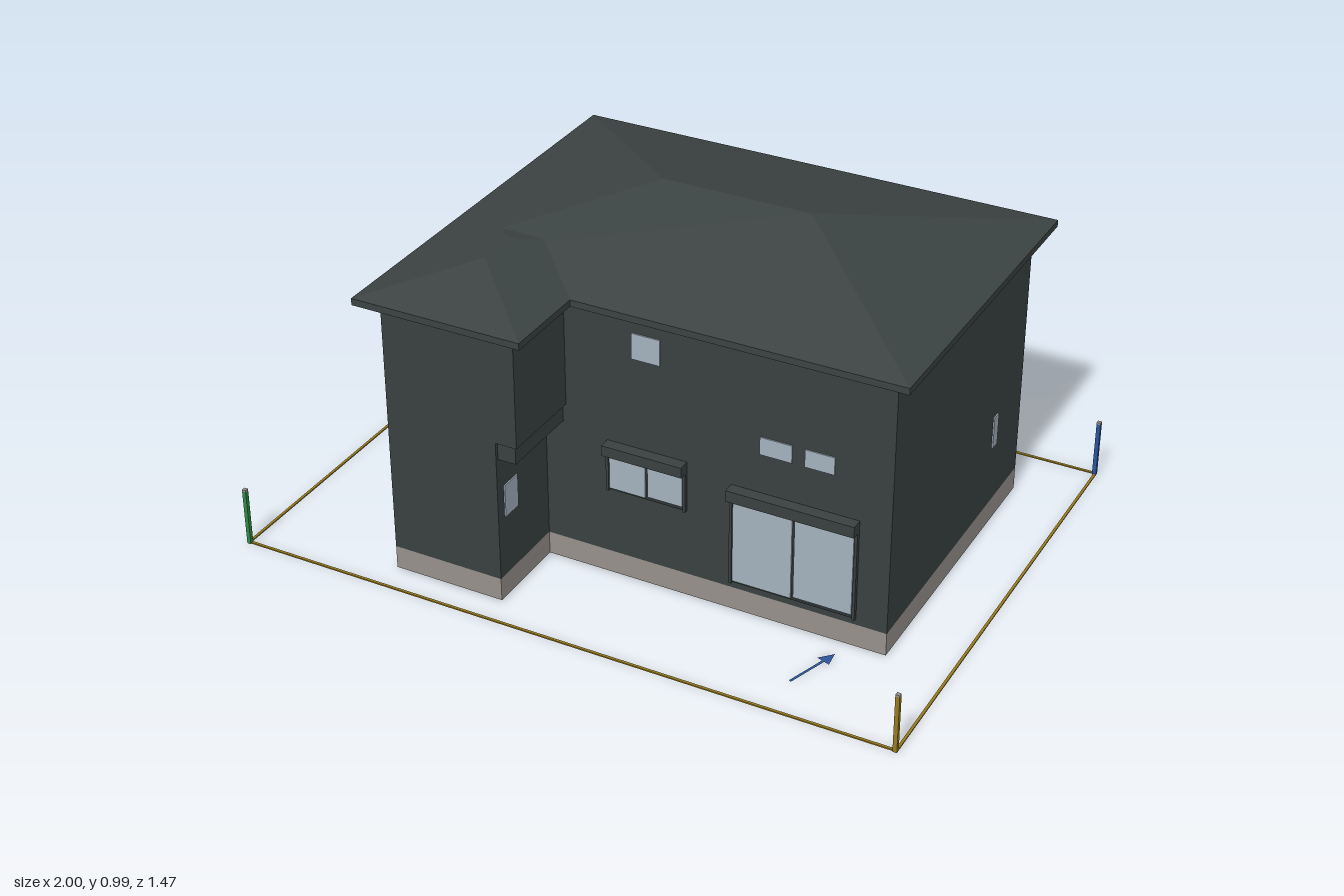
import * as THREE from 'three';

const mat = (name, color, extra = {}) => Object.assign(new THREE.MeshStandardMaterial({ color, ...extra }), { name });

export function createModel() {
  const house = new THREE.Group();
  house.name = 'house';
  const cladding = mat('charcoal cladding', 0x3a4141);
  const roofing = mat('charcoal roofing', 0x3b4342);
  const concrete = mat('concrete', 0x96918c);
  const glass = mat('window glass', 0xa3b1bd);
  const timber = mat('brown timber', 0x4e352a);
  const trim = mat('dark trim', 0x2c3233);
  const olive = mat('boundary ochre', 0x957a1e);
  const green = mat('post green', 0x2f8a45);
  const blue = mat('marker blue', 0x2a559c, { side: THREE.DoubleSide });

  const add = (name, geometry, material, parent = house) => {
    const mesh = new THREE.Mesh(geometry, material);
    mesh.name = name;
    parent.add(mesh);
    return mesh;
  };
  // Box given by its two opposite corners
  const box = (name, [x0, y0, z0], [x1, y1, z1], material, parent) => {
    const g = new THREE.BoxGeometry(x1 - x0, y1 - y0, z1 - z0);
    g.translate((x0 + x1) / 2, (y0 + y1) / 2, (z0 + z1) / 2);
    return add(name, g, material, parent);
  };
  // Floor plan of [x, z] points raised from y0 to y1
  const storey = (name, plan, y0, y1, material, hole) => {
    const toPoints = (p) => p.map(([x, z]) => new THREE.Vector2(x, -z));
    const shape = new THREE.Shape(toPoints(plan));
    if (hole) shape.holes.push(new THREE.Path(toPoints(hole)));
    const g = new THREE.ExtrudeGeometry(shape, { depth: y1 - y0, bevelEnabled: false });
    g.rotateX(-Math.PI / 2);
    g.translate(0, y0, 0);
    return add(name, g, material);
  };
  // L-shaped plan: wing side at wx, porch notch reaching back to pz, inset by d
  const plan = (wx, pz, d = 0) => [
    [-0.56 + d, 0.63 - d], [wx - d, 0.63 - d], [wx - d, 0.37 - d], [0.81 - d, 0.37 - d],
    [0.81 - d, -0.55 + d], [-0.31 + d, -0.55 + d], [-0.31 + d, pz + d], [-0.56 + d, pz + d],
  ];

  // Foundation ring and walls
  storey('foundation', plan(-0.22, -0.3), 0, 0.07, concrete, plan(-0.22, -0.3, 0.035));
  storey('lowerWalls', plan(-0.22, -0.3), 0.07, 0.506, [timber, cladding]);
  storey('upperWalls', plan(-0.155, -0.42), 0.506, 0.85, [timber, cladding]);
  box('bayBand', [-0.23, 0.45, 0.36], [-0.165, 0.508, 0.62], cladding);

  // Corner porch
  const porch = new THREE.Group();
  porch.name = 'porch';
  house.add(porch);
  box('porchSlab', [-0.56, 0, -0.55], [-0.31, 0.05, -0.28], concrete, porch);
  box('porchScreen', [-0.56, 0.05, -0.55], [-0.543, 0.506, -0.41], cladding, porch);
  box('porchScreenLining', [-0.543, 0.05, -0.548], [-0.538, 0.504, -0.412], concrete, porch);
  box('porchBackBeam', [-0.543, 0.44, -0.42], [-0.31, 0.506, -0.405], timber, porch);
  box('porchSideBeam', [-0.56, 0.44, -0.41], [-0.545, 0.506, -0.3], timber, porch);
  box('porchEaveLining', [-0.56, 0.842, -0.55], [-0.31, 0.848, -0.42], timber, porch);

  // Hipped roof with a short upright eave, ridge along the longer side
  const hipRoof = (name, x0, x1, z0, z1) => {
    const yb = 0.845, ye = 0.865, half = Math.min(x1 - x0, z1 - z0) / 2, yr = ye + half * 0.252;
    const low = [[x0, yb, z1], [x1, yb, z1], [x1, yb, z0], [x0, yb, z0]];
    const eave = low.map(([x, , z]) => [x, ye, z]);
    const alongX = x1 - x0 > z1 - z0;
    const a = alongX ? [x0 + half, yr, (z0 + z1) / 2] : [(x0 + x1) / 2, yr, z1 - half];
    const b = alongX ? [x1 - half, yr, (z0 + z1) / 2] : [(x0 + x1) / 2, yr, z0 + half];
    const top = alongX ? [a, b, b, a] : [a, a, b, b];
    const tris = [];
    const quad = (p, q, r, s) => tris.push(...p, ...q, ...r, ...p, ...r, ...s);
    for (let i = 0; i < 4; i++) {
      const j = (i + 1) % 4;
      quad(low[i], low[j], eave[j], eave[i]);
      if (top[i] === top[j]) tris.push(...eave[i], ...eave[j], ...top[i]);
      else quad(eave[i], eave[j], top[j], top[i]);
    }
    quad(low[3], low[2], low[1], low[0]);
    const g = new THREE.BufferGeometry();
    g.setAttribute('position', new THREE.Float32BufferAttribute(tris, 3));
    g.computeVertexNormals();
    add(name, g, roofing);
  };
  hipRoof('mainRoof', -0.615, 0.86, -0.605, 0.42);
  hipRoof('wingRoof', -0.615, -0.105, 0.045, 0.68);

  // Front windows: x range, y range
  const frontPane = (x0, x1, y0, y1, z = 0.37) =>
    box('frontWindow', [x0, y0, z - 0.002], [x1, y1, z + 0.004], glass);
  frontPane(0.05, 0.135, 0.705, 0.783);
  frontPane(0.43, 0.523, 0.52, 0.573);
  frontPane(0.56, 0.645, 0.52, 0.573);

  // Sliding windows with a frame and a shutter box above
  const slider = (name, x0, x1, y0, y1, boxTop) => {
    const mid = (x0 + x1) / 2;
    box(name + 'Backing', [x0, y0, 0.365], [x1, y1, 0.373], trim);
    for (const x of [x0, x1 - 0.008]) box(name + 'Rail', [x, y0, 0.365], [x + 0.008, y1, 0.382], cladding);
    box(name + 'ShutterBox', [x0, y1, 0.365], [x1, boxTop, 0.405], cladding);
    frontPane(x0 + 0.009, mid - 0.003, y0 + 0.007, y1 - 0.003, 0.374);
    frontPane(mid + 0.004, x1 - 0.012, y0 + 0.012, y1 - 0.012, 0.373);
  };
  slider('frontSlider', -0.028, 0.215, 0.275, 0.398, 0.43);
  slider('terraceDoor', 0.347, 0.72, 0.09, 0.366, 0.4);

  // Side windows: wall x, centre z, centre y, width, height
  for (const [x, z, y, w, h] of [
    [0.81, -0.352, 0.305, 0.032, 0.1], [-0.22, 0.565, 0.305, 0.066, 0.1],
    [-0.56, -0.158, 0.74, 0.085, 0.08], [-0.56, 0.41, 0.74, 0.085, 0.08],
  ]) box('sideWindow', [x - 0.004, y - h / 2, z - w / 2], [x + 0.004, y + h / 2, z + w / 2], glass);

  // Plot boundary and corner posts
  const plot = new THREE.Group();
  plot.name = 'plotBoundary';
  house.add(plot);
  for (const z of [-0.732, 0.723]) box('boundaryLine', [-1, 0, z - 0.004], [1, 0.004, z + 0.004], olive, plot);
  for (const x of [-0.996, 0.996]) box('boundaryLine', [x - 0.004, 0, -0.735], [x + 0.004, 0.004, 0.727], olive, plot);
  for (const [x, z, m] of [[-1, 1, green], [1, 1, olive], [1, -1, blue], [-1, -1, trim]]) {
    const px = x * 0.994, pz = z > 0 ? 0.724 : -0.73;
    box('cornerPost', [px - 0.006, 0, pz - 0.006], [px + 0.006, 0.174, pz + 0.006], m, plot);
    box('postCap', [px - 0.006, 0.174, pz - 0.006], [px + 0.006, 0.18, pz + 0.006], concrete, plot);
  }

  // Flat arrow lying on the ground
  const arrow = new THREE.Shape([
    [-0.004, 0], [0.004, 0], [0.004, 0.125], [0.021, 0.125], [0, 0.17], [-0.021, 0.125], [-0.004, 0.125],
  ].map(([x, y]) => new THREE.Vector2(x, y)));
  const arrowGeometry = new THREE.ShapeGeometry(arrow);
  arrowGeometry.rotateX(-Math.PI / 2);
  arrowGeometry.rotateY(-0.33);
  arrowGeometry.translate(0.635, 0.003, 0.592);
  add('entryArrow', arrowGeometry, blue);

  return house;
}
